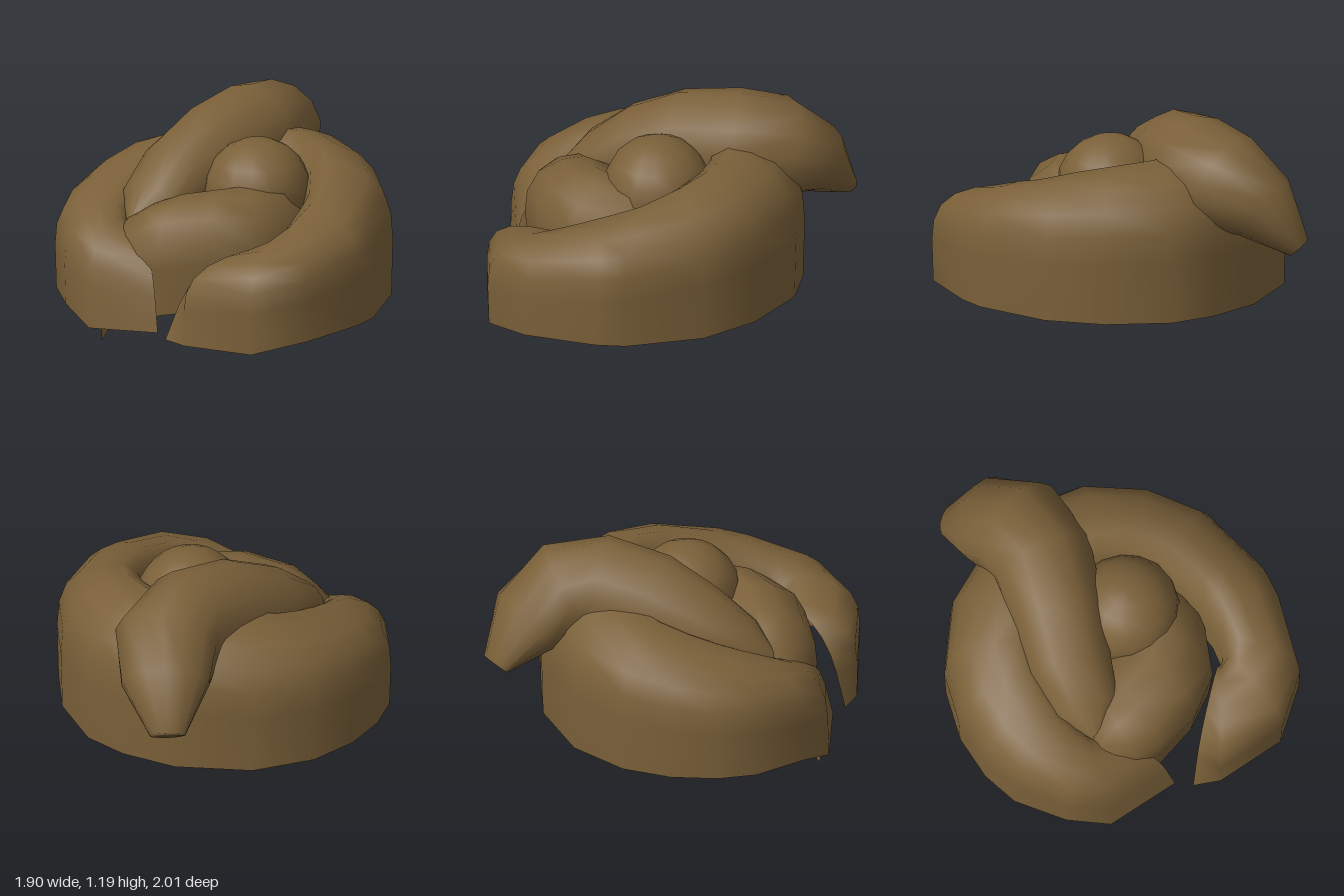
import * as THREE from 'three';

const brown = new THREE.MeshStandardMaterial({ color: 0x7a6039, side: THREE.DoubleSide });
brown.name = 'brown dough';

// Skin a list of cross-sections, each a list of [x, y, z]
function loft(name, sections) {
  const n = sections[0].length, index = [];
  for (let i = 0; i < sections.length - 1; i++) {
    for (let j = 0; j < n - 1; j++) {
      const a = i * n + j, b = a + n;
      index.push(a, a + 1, b, b, a + 1, b + 1);
    }
  }
  const g = new THREE.BufferGeometry();
  g.setAttribute('position', new THREE.Float32BufferAttribute(sections.flat(2), 3));
  g.setIndex(index);
  g.computeVertexNormals();
  const mesh = new THREE.Mesh(g, brown);
  mesh.name = name;
  return mesh;
}

// Open-bottomed arch; stations are [outerX, outerZ, innerX, innerZ, topY, bottomY, lean]
function arch(name, profile, stations) {
  return loft(name, stations.map(([ox, oz, ix, iz, top, low, lean = 0]) =>
    profile.map(([u, v]) => {
      const t = u + lean * v * (1 - u);
      return [ox + (ix - ox) * t, low + (top - low) * v, oz + (iz - oz) * t];
    })));
}

// Closed tapering strand; stations are [x, y, z, halfWidth, halfHeight]
function strand(name, stations, sides = 14) {
  const points = stations.map(([x, y, z]) => new THREE.Vector3(x, y, z));
  const sections = stations.map(([, , , w, h], i) => {
    const tangent = points[Math.min(i + 1, points.length - 1)].clone()
      .sub(points[Math.max(i - 1, 0)]).normalize();
    const side = new THREE.Vector3(0, 1, 0).cross(tangent).normalize();
    const up = tangent.clone().cross(side);
    return Array.from({ length: sides + 1 }, (_, j) => {
      const a = (j % sides) / sides * Math.PI * 2 - Math.PI / 2;
      return points[i].clone().addScaledVector(side, Math.cos(a) * w)
        .addScaledVector(up, Math.sin(a) * h).toArray();
    });
  });
  // Close both ends on their centres
  const cap = (p) => Array.from({ length: sides + 1 }, () => p.toArray());
  return loft(name, [cap(points[0]), ...sections, cap(points[points.length - 1])]);
}

export function createModel() {
  const model = new THREE.Group();
  model.name = 'coiledKnot';

  // Broad outer coil, highest near its inner rim, open at the front
  const coilProfile = [[0.015, 0], [0, 0.42], [0.02, 0.62], [0.1, 0.78], [0.26, 0.9],
    [0.48, 0.97], [0.7, 1], [0.86, 0.93], [0.95, 0.76], [1, 0.48]];
  model.add(arch('outerCoil', coilProfile, [
    [0.05, 0.96, 0.48, 0.5, 0.56, 0.1, 0.33],
    [0.2, 1.01, 0.49, 0.5, 0.59, 0.1, 0.03],
    [0.61, 0.97, 0.49, 0.48, 0.65, 0.1],
    [0.85, 0.75, 0.49, 0.4, 0.72, 0.155],
    [0.945, 0.35, 0.46, 0.24, 0.8, 0.155],
    [0.95, 0.18, 0.42, 0.1, 0.84, 0.155],
    [0.82, -0.25, 0.33, -0.04, 0.92, 0.155],
    [0.6, -0.52, 0.24, -0.12, 0.96, 0.155],
    [0.28, -0.72, 0.12, -0.16, 0.98, 0.155],
    [0.02, -0.75, 0, -0.16, 0.98, 0.155],
    [-0.3, -0.7, -0.14, -0.13, 0.97, 0.155],
    [-0.68, -0.48, -0.28, -0.06, 0.94, 0.155],
    [-0.89, -0.18, -0.36, 0.04, 0.9, 0.155],
    [-0.955, 0.1, -0.38, 0.16, 0.85, 0.155],
    [-0.94, 0.36, -0.39, 0.28, 0.8, 0.155],
    [-0.87, 0.57, -0.4, 0.38, 0.76, 0.155],
    [-0.67, 0.81, -0.4, 0.46, 0.7, 0.155],
    [-0.45, 0.93, -0.4, 0.52, 0.65, 0.08, 0.08],
    [-0.02, 0.9, -0.4, 0.54, 0.58, 0.11, 0.28],
  ]));

  // Inner coil crossing the front opening and turning under the crown
  const innerProfile = [[0.06, 0], [0.01, 0.45], [0.03, 0.66], [0.13, 0.85],
    [0.34, 0.97], [0.55, 1], [0.8, 0.9], [1, 0.6]];
  model.add(arch('innerCoil', innerProfile, [
    [-0.4, 0.88, -0.42, 0.65, 0.3, 0],
    [-0.36, 0.77, -0.4, 0.45, 0.65, 0.12],
    [-0.23, 0.81, -0.27, 0.3, 0.73, 0.06],
    [-0.08, 0.82, -0.13, 0.2, 0.79, 0.17],
    [0.2, 0.73, 0, 0.15, 0.83, 0.22],
    [0.42, 0.54, 0.05, 0.1, 0.84, 0.06],
    [0.52, 0.27, 0.1, 0.05, 0.82, 0.03],
    [0.48, 0, 0.15, 0, 0.7, 0.07],
    [0.35, -0.3, 0.1, -0.05, 0.6, 0.13],
  ]));

  // Tapered strand lying over the top and hanging at the back
  model.add(strand('topStrand', [
    [-0.36, 0.61, 0.62, 0.02, 0.02],
    [-0.34, 0.69, 0.44, 0.19, 0.13],
    [-0.31, 0.76, 0.2, 0.24, 0.24],
    [-0.23, 0.83, -0.08, 0.27, 0.31],
    [-0.16, 0.88, -0.38, 0.29, 0.31],
    [-0.18, 0.86, -0.6, 0.3, 0.28],
    [-0.3, 0.74, -0.78, 0.25, 0.2],
    [-0.43, 0.52, -0.94, 0.1, 0.06],
  ]));

  // Rounded centre of the knot
  const centre = new THREE.Mesh(new THREE.SphereGeometry(1, 16, 10), brown);
  centre.name = 'centreBulb';
  centre.scale.set(0.3, 0.29, 0.3);
  centre.position.set(0.13, 0.745, 0.06);
  model.add(centre);
  return model;
}
